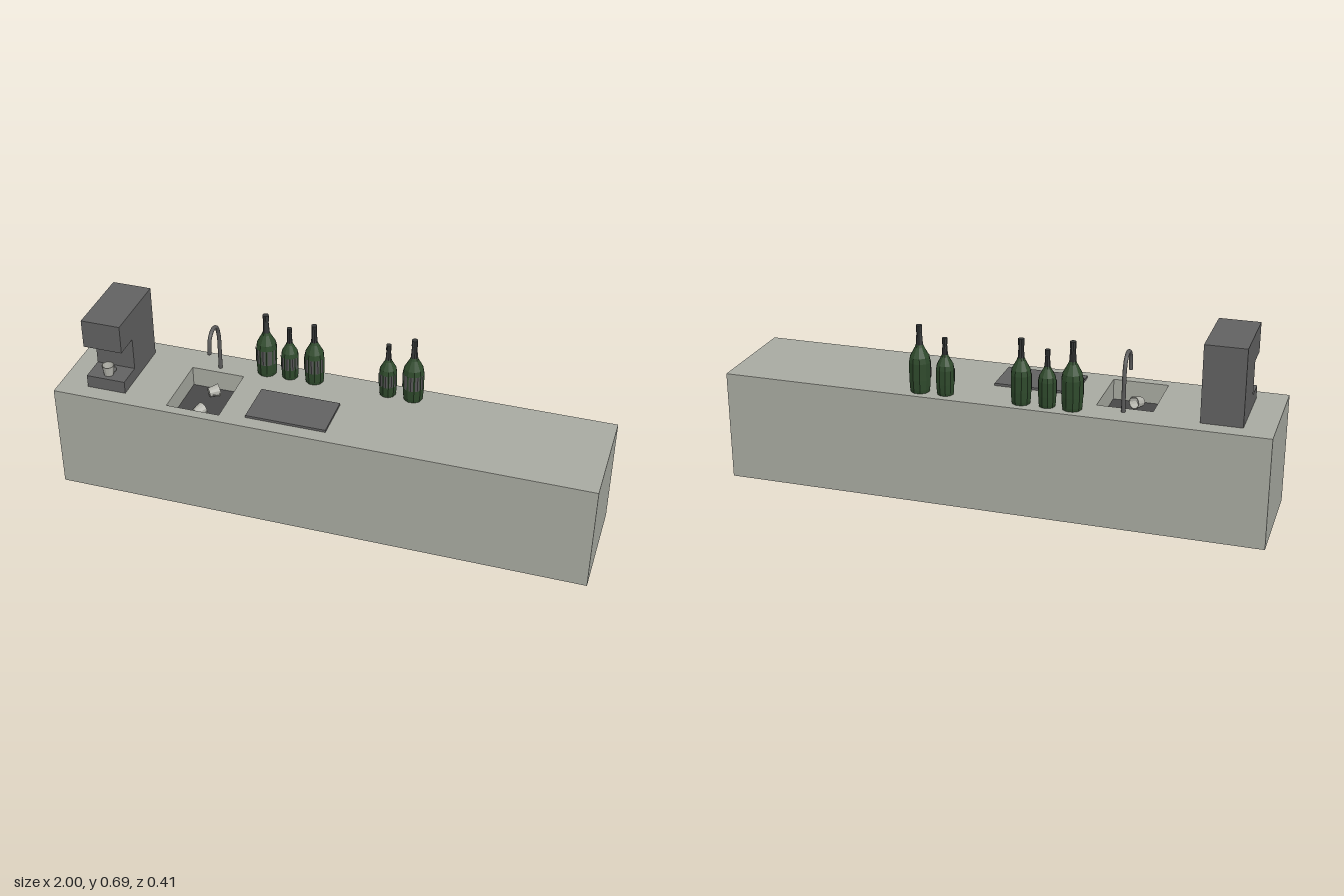
import * as THREE from 'three';
import { mergeGeometries } from 'three/addons/utils/BufferGeometryUtils.js';

const TOP = 0.412; // worktop height
const material = (color, flatShading = false) =>
  new THREE.MeshStandardMaterial({ color, flatShading, side: THREE.DoubleSide });

const stone = material(0xa9aba2);
const dark = material(0x626262);
const basin = material(0x484848);
const steel = material(0x5a5a5a);
const ceramic = material(0xb4b4ac);
const glass = material(0x2f4a2c, true);
const foil = material(0x363838, true);
const paper = material(0x555555, true);

function add(parent, name, geometry, mat, x = 0, y = 0, z = 0) {
  const mesh = new THREE.Mesh(geometry, mat);
  mesh.name = name;
  mesh.position.set(x, y, z);
  parent.add(mesh);
  return mesh;
}

// Four upright panels around a rectangle, open above and below
function wallRing(x0, x1, z0, z1, y0, y1) {
  const w = x1 - x0, d = z1 - z0, h = y1 - y0;
  const panels = [0, 1, 2, 3].map((i) => {
    const along = i % 2 ? d : w, out = (i % 2 ? w : d) / 2;
    return new THREE.PlaneGeometry(along, h).translate(0, 0, out).rotateY(i * Math.PI / 2);
  });
  return mergeGeometries(panels).translate((x0 + x1) / 2, (y0 + y1) / 2, (z0 + z1) / 2);
}

function rectangle(PathType, x0, x1, y0, y1) {
  return new PathType([[x0, y0], [x1, y0], [x1, y1], [x0, y1]].map((p) => new THREE.Vector2(...p)));
}

// Hollow counter with a sink cut into the worktop
function makeCounter() {
  const group = new THREE.Group();
  group.name = 'counter';
  const [x0, x1, z0, z1, floor] = [-0.572, -0.37, -0.09, 0.167, 0.335];
  add(group, 'counterWalls', wallRing(-1, 1, -0.205, 0.205, 0, TOP), stone);
  const top = rectangle(THREE.Shape, -1, 1, -0.205, 0.205);
  top.holes.push(rectangle(THREE.Path, x0, x1, -z1, -z0));
  add(group, 'worktop', new THREE.ShapeGeometry(top).rotateX(-Math.PI / 2), stone, 0, TOP, 0);
  add(group, 'sinkWalls', wallRing(x0, x1, z0, z1, floor, TOP), stone);
  add(group, 'sinkFloor', new THREE.PlaneGeometry(x1 - x0, z1 - z0).rotateX(-Math.PI / 2), basin,
    (x0 + x1) / 2, floor, (z0 + z1) / 2);
  return group;
}

// Side profile (z, y) extruded across the machine's width
function makeCoffeeMachine() {
  const profile = [[-0.141, 0], [0.142, 0], [0.142, 0.048], [0.047, 0.048],
    [0.047, 0.174], [0.142, 0.174], [0.142, 0.283], [-0.141, 0.283]];
  const shape = new THREE.Shape(profile.map((p) => new THREE.Vector2(...p)));
  const geometry = new THREE.ExtrudeGeometry(shape, { depth: 0.148, bevelEnabled: false })
    .translate(0, 0, -0.074).rotateY(-Math.PI / 2);
  const mesh = new THREE.Mesh(geometry, dark);
  mesh.name = 'coffeeMachine';
  mesh.position.set(-0.818, TOP, 0);
  return mesh;
}

// Small tapered cup, handle towards +x, origin at its base
function makeCup(x, y, z, rotation = [0, 0, 0]) {
  const group = new THREE.Group();
  group.name = 'cup';
  const profile = [[0, 0], [0.0175, 0], [0.0235, 0.04], [0.021, 0.04], [0.016, 0.004], [0, 0.004]];
  add(group, 'cupBody', new THREE.LatheGeometry(profile.map((p) => new THREE.Vector2(...p)), 12),
    ceramic).material = new THREE.MeshStandardMaterial({ color: 0xb4b4ac, flatShading: true, side: THREE.DoubleSide });
  const loop = new THREE.CatmullRomCurve3([[0.021, 0.035], [0.032, 0.035], [0.032, 0.024], [0.019, 0.011]]
    .map(([a, b]) => new THREE.Vector3(a, b, 0)));
  add(group, 'cupHandle', new THREE.TubeGeometry(loop, 10, 0.0022, 6), ceramic);
  group.position.set(x, y, z);
  group.rotation.set(...rotation);
  return group;
}

// Faceted bottle with foil neck and a label on its front
function makeBottle(x, height, radius) {
  const group = new THREE.Group();
  group.name = 'bottle';
  const lathe = (points) => new THREE.LatheGeometry(
    points.map(([r, y]) => new THREE.Vector2(r * radius, y * height)), 10, Math.PI / 10);
  add(group, 'bottleBody', lathe([[0, 0], [0.88, 0], [0.94, 0.05], [1, 0.2], [1, 0.45],
    [0.9, 0.53], [0.42, 0.67], [0.33, 0.71]]), glass);
  add(group, 'bottleNeck', lathe([[0.33, 0.71], [0.25, 0.9], [0.29, 0.9], [0.29, 1], [0, 1]]), foil);
  const arc = Math.PI * 0.8;
  add(group, 'bottleLabel', new THREE.CylinderGeometry(radius * 1.02, radius * 1.02, height * 0.24, 4, 1,
    true, -arc / 2 + Math.PI / 10 - Math.PI / 10, arc), paper, 0, height * 0.33, 0);
  group.position.set(x, TOP, -0.147);
  return group;
}

export function createModel() {
  const model = new THREE.Group();
  model.name = 'kitchenCounter';
  model.add(makeCounter(), makeCoffeeMachine());

  // Arched tap
  const path = new THREE.CatmullRomCurve3([[-0.122, TOP], [-0.122, 0.48], [-0.119, 0.555], [-0.101, 0.6],
    [-0.068, 0.614], [-0.037, 0.598], [-0.025, 0.565], [-0.022, 0.533]]
    .map(([z, y]) => new THREE.Vector3(-0.473, y, z)));
  add(model, 'tap', new THREE.TubeGeometry(path, 40, 0.0075, 10), steel);
  add(model, 'tapMouth', new THREE.CircleGeometry(0.0075, 10).rotateX(Math.PI / 2), steel, -0.473, 0.533, -0.022);

  // Chopping board
  add(model, 'board', new THREE.BoxGeometry(0.3, 0.009, 0.174), dark, -0.125, TOP + 0.0045, 0.065);

  // One cup under the machine, two lying in the sink
  model.add(makeCup(-0.818, TOP + 0.05, 0.111));
  model.add(makeCup(-0.485, 0.359, 0.115, [-1.4, 0, -0.5]));
  model.add(makeCup(-0.485, 0.359, -0.025, [-1.4, 0, -0.9]));

  for (const [x, height, radius] of [[-0.297, 0.248, 0.0395], [-0.207, 0.208, 0.033],
    [-0.112, 0.238, 0.0375], [0.168, 0.21, 0.0335], [0.263, 0.248, 0.0395]]) {
    model.add(makeBottle(x, height, radius));
  }
  return model;
}
